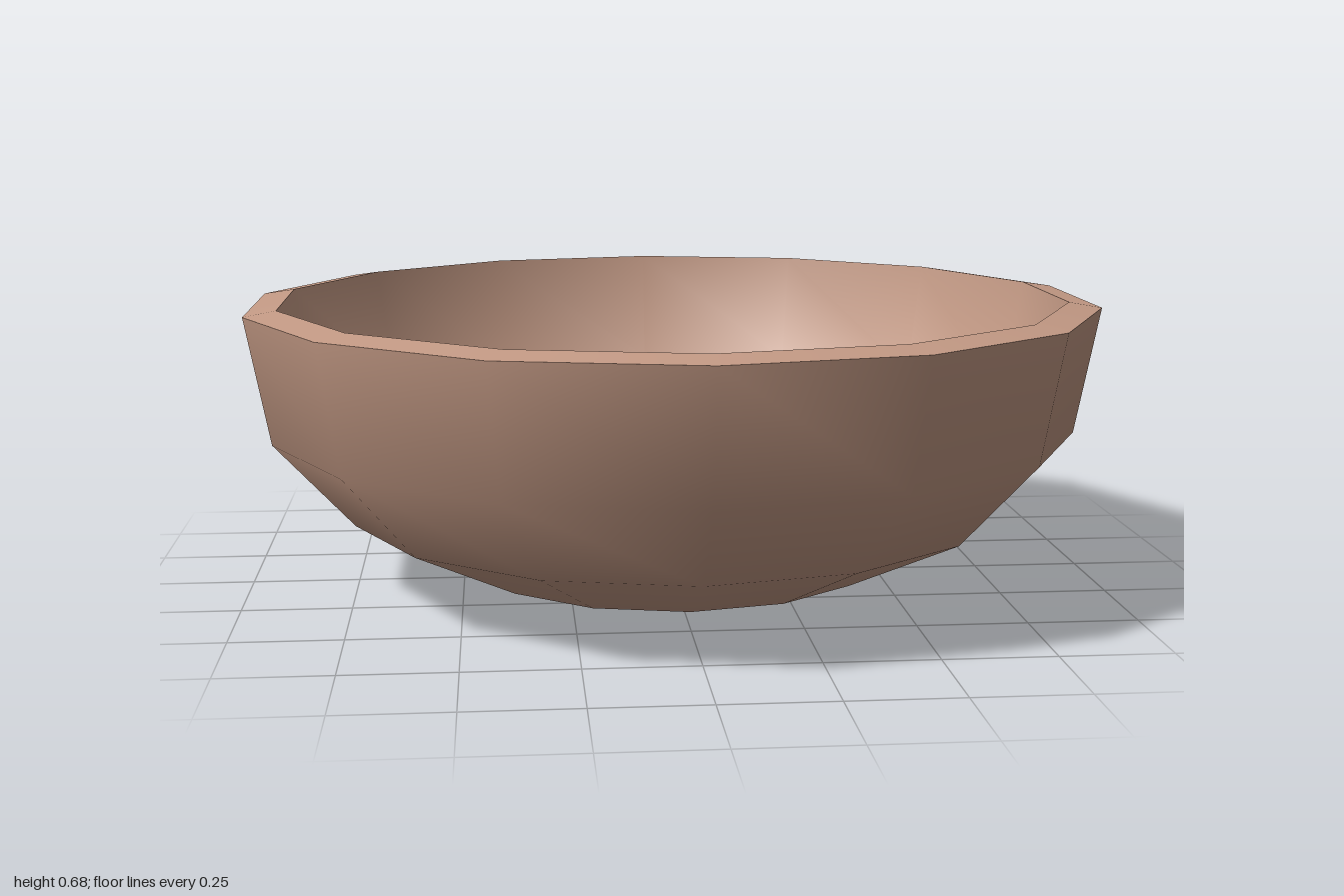
import * as THREE from 'three';

const SIDES = 14;

// Smooth lathed shell; profile order sets which way the faces look
function shell(name, profile, material) {
  const points = profile.map(([r, y]) => new THREE.Vector2(r, y));
  const mesh = new THREE.Mesh(new THREE.LatheGeometry(points, SIDES), material);
  mesh.name = name;
  return mesh;
}

export function createModel() {
  const bowl = new THREE.Group();
  bowl.name = 'bowl';

  const clay = new THREE.MeshStandardMaterial({ color: 0xc49a85 });
  clay.name = 'clay';

  // Outer wall, from the middle of the base up to the rim
  const outer = shell('outerWall', [
    [0, 0], [0.236, 0], [0.488, 0.04], [0.762, 0.172], [0.945, 0.372], [1, 0.665],
  ], clay);
  // The small flat base is slightly narrower front to back
  const p = outer.geometry.attributes.position;
  for (let i = 0; i < p.count; i++) {
    if (p.getY(i) < 0.01) p.setZ(i, p.getZ(i) * 0.86);
  }

  // Rim, rising slightly towards the inside
  const rim = shell('rim', [[1, 0.665], [0.925, 0.677]], clay);

  // Hollow, from the rim down to the middle of the floor
  const inner = shell('innerWall', [
    [0.925, 0.677], [0.875, 0.4], [0.71, 0.225], [0.455, 0.11], [0.22, 0.07], [0, 0.07],
  ], clay);

  bowl.add(outer, rim, inner);
  return bowl;
}
